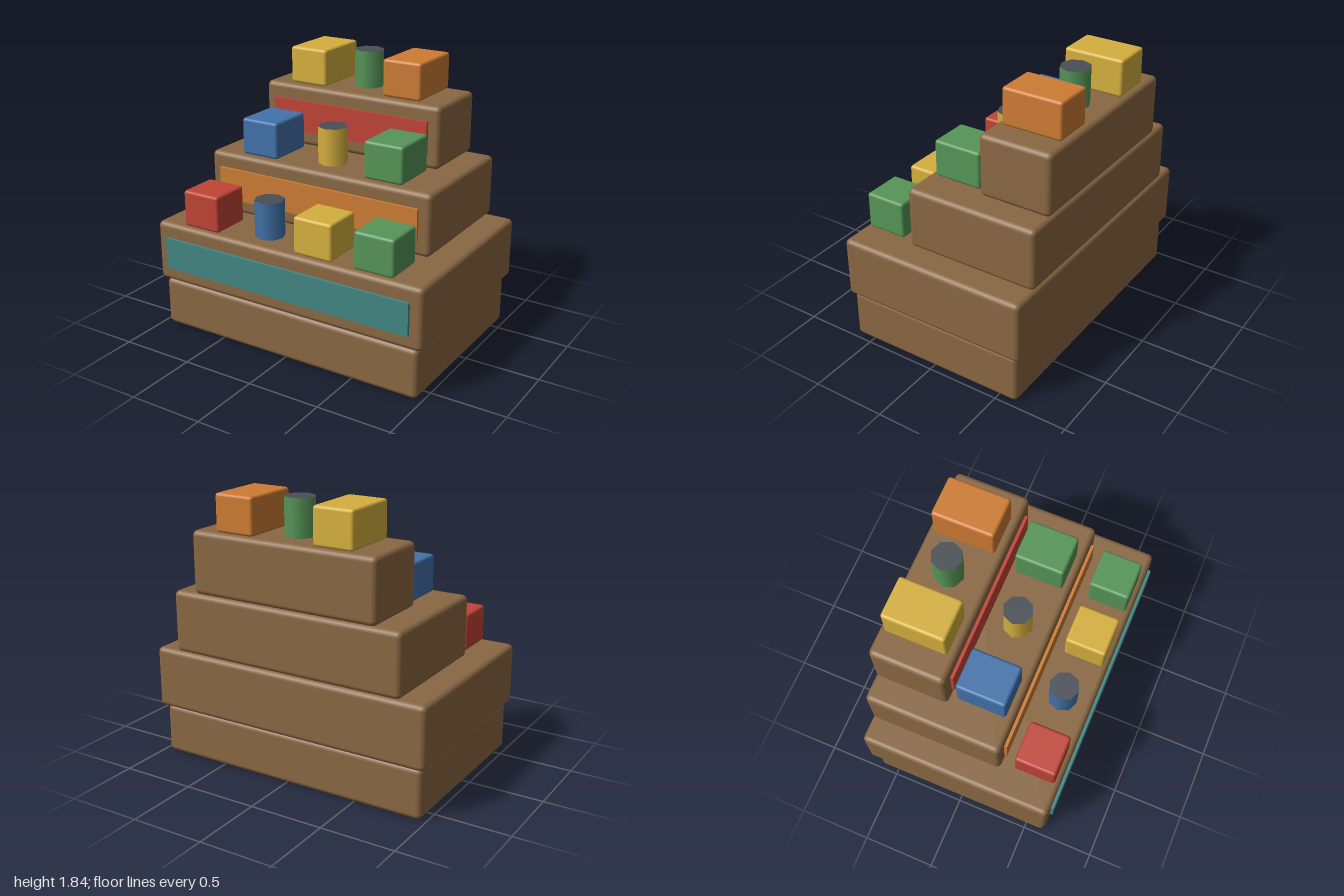
import * as THREE from 'three';
import { RoundedBoxGeometry } from 'three/addons/geometries/RoundedBoxGeometry.js';

const colors = {
  brown: 0x8a6843, teal: 0x428684, red: 0xc04436, orange: 0xce7c34,
  yellow: 0xd6b03e, green: 0x579558, blue: 0x4272aa, slate: 0x4a4f57,
};

export function createModel() {
  const model = new THREE.Group();
  model.name = 'steppedDisplay';
  const mats = {};
  for (const [name, color] of Object.entries(colors)) {
    mats[name] = new THREE.MeshStandardMaterial({ color });
    mats[name].name = name;
  }

  function add(name, geometry, material, x, y, z) {
    const mesh = new THREE.Mesh(geometry, material);
    mesh.name = name;
    mesh.position.set(x, y, z);
    model.add(mesh);
  }

  // Box given by its extents on each axis, with softened edges
  function softBox(name, color, [x0, x1], [y0, y1], [z0, z1], radius) {
    add(name, new RoundedBoxGeometry(x1 - x0, y1 - y0, z1 - z0, 3, radius), mats[color],
      (x0 + x1) / 2, (y0 + y1) / 2, (z0 + z1) / 2);
  }

  // Plinth under the shelves
  softBox('plinth', 'brown', [-0.967, 0.967], [0, 0.337], [-0.632, 0.632], 0.035);

  // Shelves, each with a front panel, a row of boxes and one jar
  const rows = [
    { half: 1, y: 0.337, front: 0.648, panel: 'teal', panelHalf: 0.918,
      boxes: [['red', -0.65], ['yellow', 0.215], ['green', 0.648]], boxZ: [0.335, 0.615],
      jar: ['blue', -0.217, 0.447] },
    { half: 0.832, y: 0.755, front: 0.25, panel: 'orange', panelHalf: 0.752,
      boxes: [['blue', -0.468], ['green', 0.468]], boxZ: [-0.133, 0.2],
      jar: ['yellow', 0, 0.03] },
    { half: 0.665, y: 1.172, front: -0.168, panel: 'red', panelHalf: 0.585,
      boxes: [['yellow', -0.356], ['orange', 0.356]], boxZ: [-0.632, -0.22],
      jar: ['green', 0, -0.427] },
  ];
  const shelfHeight = 0.416, itemHeight = 0.248;

  rows.forEach((row, i) => {
    const top = row.y + shelfHeight;
    softBox(`shelf${i + 1}`, 'brown', [-row.half, row.half], [row.y, top], [-0.666, row.front], 0.035);

    add(`frontPanel${i + 1}`, new THREE.BoxGeometry(row.panelHalf * 2, 0.217, 0.02),
      mats[row.panel], 0, row.y + 0.207, row.front + 0.01);

    row.boxes.forEach(([color, x], j) => softBox(`box${i + 1}_${j + 1}`, color,
      [x - 0.139, x + 0.139], [top, top + itemHeight], row.boxZ, 0.02));

    // Jar with dark lid and base
    const [color, x, z] = row.jar;
    add(`jar${i + 1}`, new THREE.CylinderGeometry(0.099, 0.099, itemHeight, 8),
      [mats[color], mats.slate, mats.slate], x, top + itemHeight / 2, z);
  });

  return model;
}
